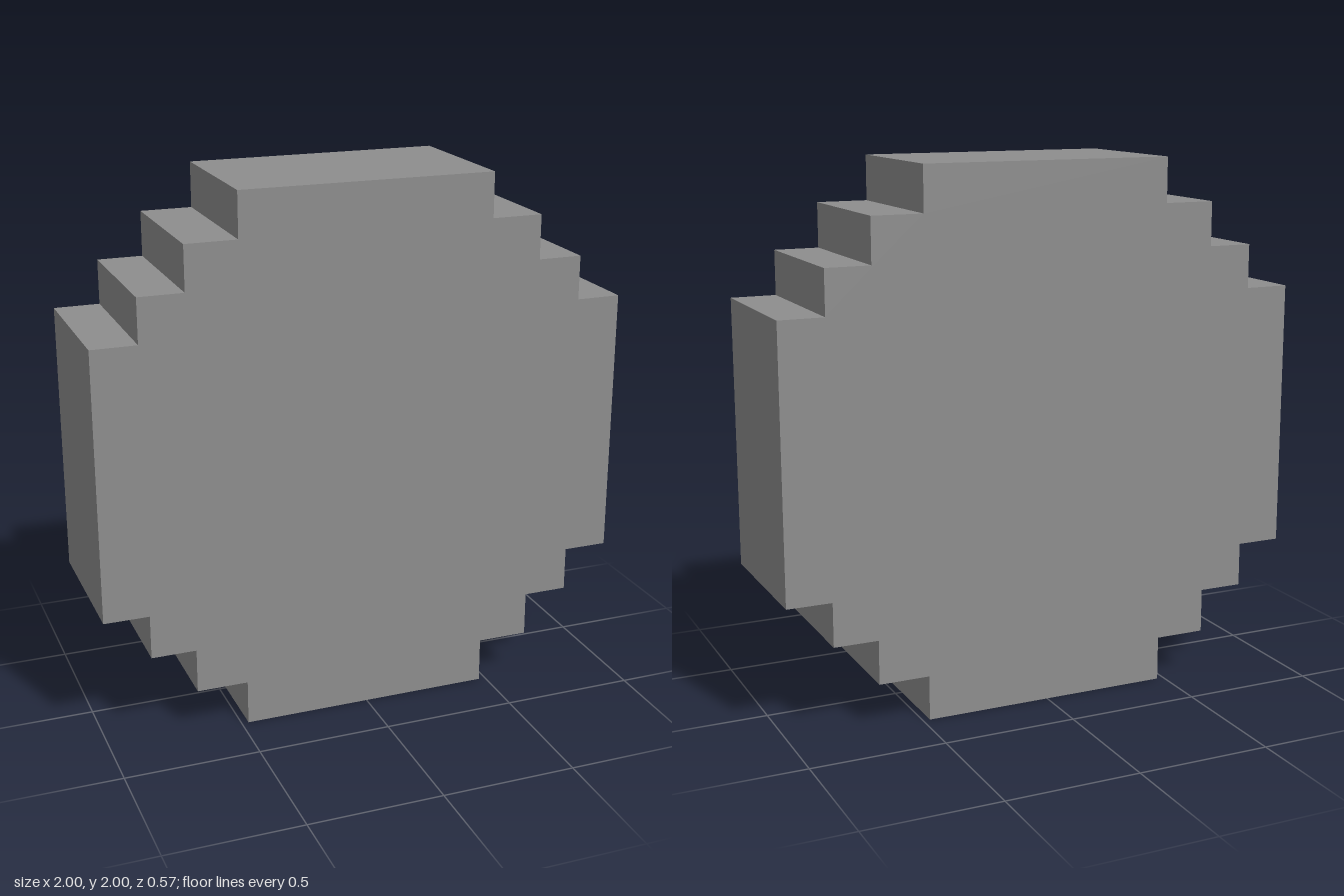
import * as THREE from 'three';

// Half-widths and half-heights of the stepped outline, from the top down
const STEPS = [
  [0.474, 1],
  [0.665, 0.833],
  [0.832, 0.667],
  [1, 0.502],
];
const DEPTH = 0.57;

// Upper right quarter as a staircase, ending on the vertical side
function quarterOutline() {
  const points = [];
  STEPS.forEach(([x, y], i) => {
    points.push([x, y]);
    if (i < STEPS.length - 1) points.push([x, STEPS[i + 1][1]]);
  });
  return points;
}

export function createModel() {
  const group = new THREE.Group();
  group.name = 'steppedDisc';

  // Mirror the quarter into a closed outline
  const quarter = quarterOutline();
  const mirror = (points, sx, sy) => points.map(([x, y]) => new THREE.Vector2(x * sx, y * sy + 1));
  const reversed = [...quarter].reverse();
  const outline = new THREE.Shape([
    ...mirror(quarter, 1, 1),
    ...mirror(reversed, 1, -1),
    ...mirror(quarter, -1, -1),
    ...mirror(reversed, -1, 1),
  ]);

  // Solid disc, centred front to back
  const geometry = new THREE.ExtrudeGeometry(outline, { depth: DEPTH, bevelEnabled: false });
  geometry.translate(0, 0, -DEPTH / 2);
  const disc = new THREE.Mesh(
    geometry,
    new THREE.MeshStandardMaterial({ color: 0x8e8e8e, flatShading: true })
  );
  disc.name = 'discBody';
  group.add(disc);
  return group;
}
